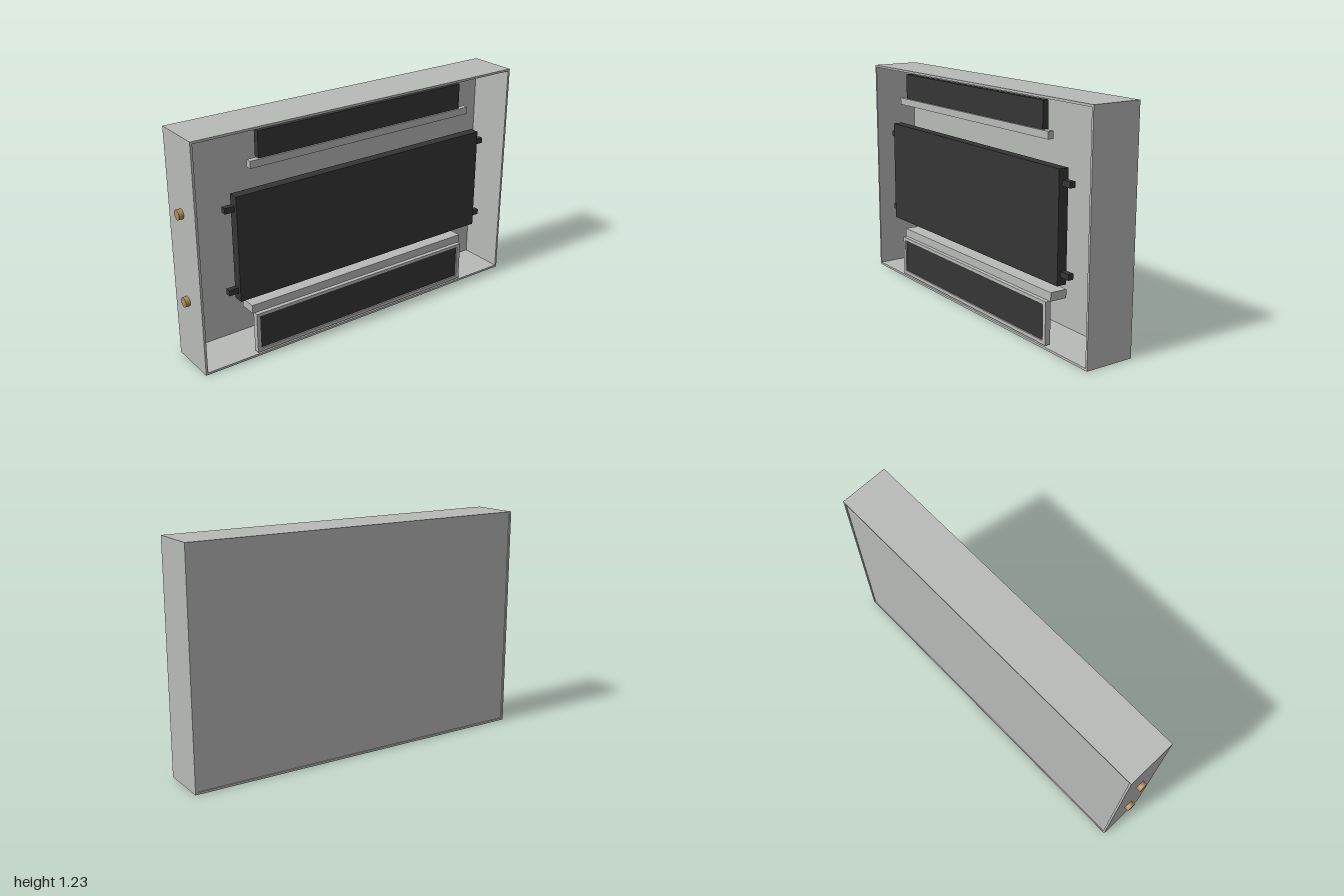
import * as THREE from 'three';

export function createModel() {
  const model = new THREE.Group();
  const mat = (name, color) => {
    const m = new THREE.MeshStandardMaterial({ color });
    m.name = name;
    return m;
  };
  const grey = mat('casing grey', 0xb8bab8);
  const dark = mat('panel charcoal', 0x353535);
  const brass = mat('brass', 0xb08d57);

  // Box given by its limits on each axis
  const box = (name, material, [x0, x1], [y0, y1], [z0, z1], parent = model) => {
    const mesh = new THREE.Mesh(new THREE.BoxGeometry(x1 - x0, y1 - y0, z1 - z0), material);
    mesh.position.set((x0 + x1) / 2, (y0 + y1) / 2, (z0 + z1) / 2);
    mesh.name = name;
    parent.add(mesh);
    return mesh;
  };

  // Rectangular ring extruded along z
  const frame = (name, [x0, x1], [y0, y1], [z0, z1], tx, ty) => {
    const rect = (P, a, b, c, d) => new P([[a, c], [b, c], [b, d], [a, d]].map(p => new THREE.Vector2(...p)));
    const shape = rect(THREE.Shape, x0, x1, y0, y1);
    shape.holes.push(rect(THREE.Path, x0 + tx, x1 - tx, y0 + ty, y1 - ty));
    const mesh = new THREE.Mesh(
      new THREE.ExtrudeGeometry(shape, { depth: z1 - z0, bevelEnabled: false }), grey);
    mesh.position.z = z0;
    mesh.name = name;
    model.add(mesh);
  };

  // Open-fronted casing with a slightly inset back
  frame('casingWalls', [-0.975, 1.0], [0, 1.23], [-0.135, 0.135], 0.012, 0.012);
  box('backPanel', grey, [-0.963, 0.988], [0.012, 1.218], [-0.13, -0.118]);

  // Upper vent and the slat below it
  box('upperVent', dark, [-0.622, 0.636], [1.07, 1.207], [0.095, 0.128]);
  box('upperSlat', grey, [-0.675, 0.69], [1.032, 1.07], [0.107, 0.138]);

  // Main panel with mounting pins on both sides
  box('mainPanel', dark, [-0.76, 0.777], [0.348, 0.91], [0.085, 0.139]);
  for (const y of [0.403, 0.842]) {
    box('rightPin', dark, [-0.812, -0.76], [y - 0.015, y + 0.015], [0.09, 0.12]);
    box('leftPin', dark, [0.777, 0.834], [y - 0.015, y + 0.015], [0.09, 0.12]);
  }

  // Lower ledge, frame and its four panels
  box('lowerLedge', grey, [-0.685, 0.7], [0.245, 0.29], [0.02, 0.115]);
  frame('lowerFrame', [-0.675, 0.69], [0.022, 0.245], [0.107, 0.138], 0.022, 0.019);
  const lowerPanels = new THREE.Group();
  lowerPanels.name = 'lowerPanels';
  model.add(lowerPanels);
  const width = 1.321 / 4;
  for (let i = 0; i < 4; i++) {
    const x = -0.653 + i * width;
    box('lowerPanel', dark, [x, x + width], [0.041, 0.226], [0.108, 0.13], lowerPanels);
  }

  // Pipe stubs through the side wall
  for (const y of [0.36, 0.83]) {
    const stub = new THREE.Mesh(new THREE.CylinderGeometry(0.026, 0.026, 0.058, 24), brass);
    stub.rotation.z = Math.PI / 2;
    stub.position.set(-0.971, y, -0.004);
    stub.name = 'pipeStub';
    model.add(stub);
  }

  return model;
}
